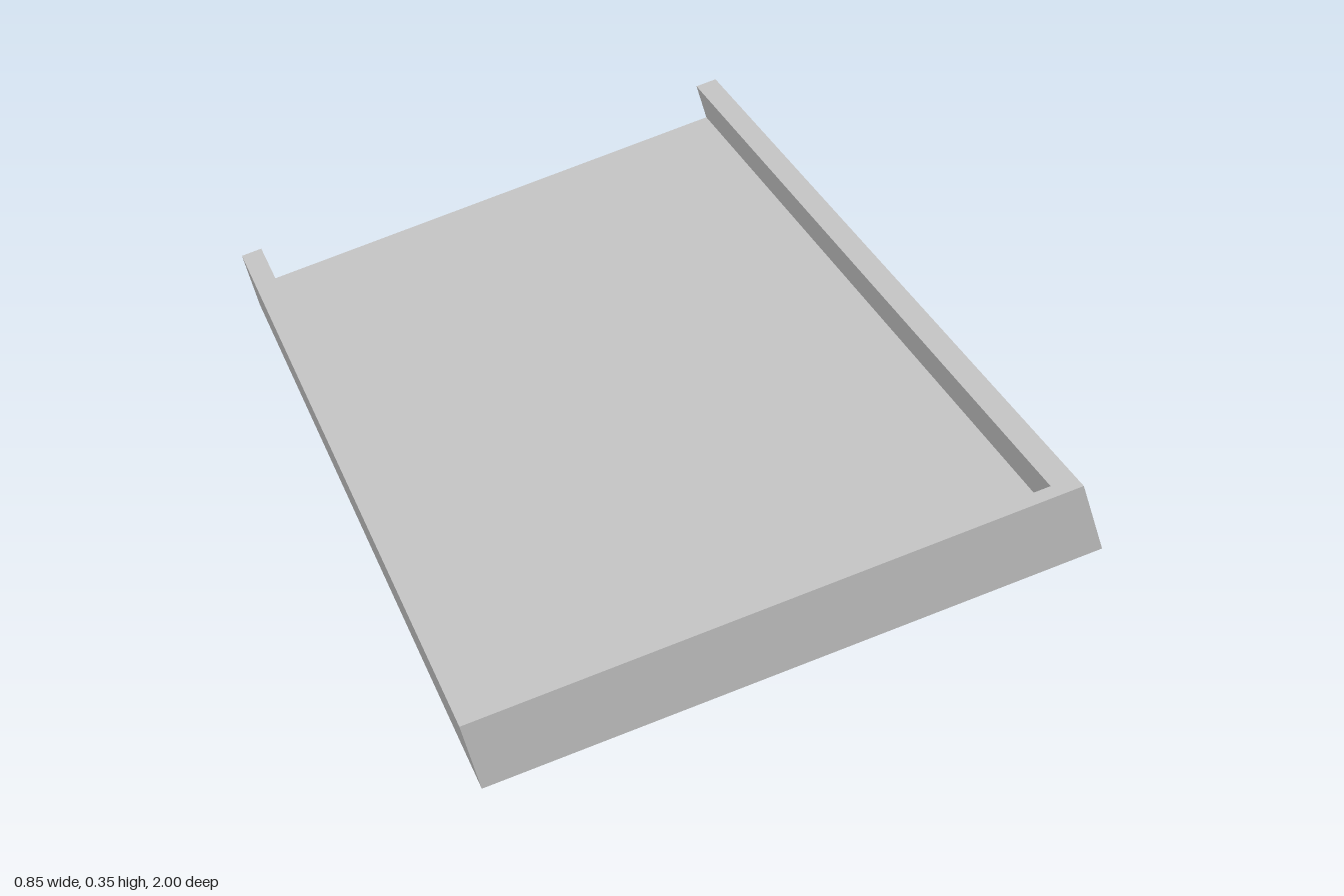
import * as THREE from 'three';

export function createModel() {
  const width = 0.866, height = 0.094, length = 2, wall = 0.035;
  const tilt = THREE.MathUtils.degToRad(17.5);
  const grey = new THREE.MeshStandardMaterial({ color: 0xc0c0c0 });
  grey.name = 'light grey';

  const group = new THREE.Group();
  group.name = 'tiltedTray';

  const addProfile = (name, points, depth, z) => {
    const shape = new THREE.Shape(points.map(([x, y]) => new THREE.Vector2(x, y)));
    const geometry = new THREE.ExtrudeGeometry(shape, { depth, bevelEnabled: false });
    const mesh = new THREE.Mesh(geometry, grey);
    mesh.name = name;
    mesh.position.z = z;
    tray.add(mesh);
  };

  const tray = new THREE.Group();
  tray.name = 'tray';
  const w = width / 2, h = height / 2, floorTop = -h + wall;

  // Floor with its two side walls, open at the back
  addProfile('floorAndSideWalls', [
    [-w, -h], [w, -h], [w, h], [w - wall, h],
    [w - wall, floorTop], [-w + wall, floorTop], [-w + wall, h], [-w, h],
  ], length - wall, -length / 2);

  // Wall closing the front end
  addProfile('frontWall', [[-w, -h], [w, -h], [w, h], [-w, h]], wall, length / 2 - wall);

  // Tilt up toward +x and rest the low edge on the ground
  tray.rotation.z = tilt;
  tray.position.y = w * Math.sin(tilt) + h * Math.cos(tilt);
  group.add(tray);
  return group;
}
